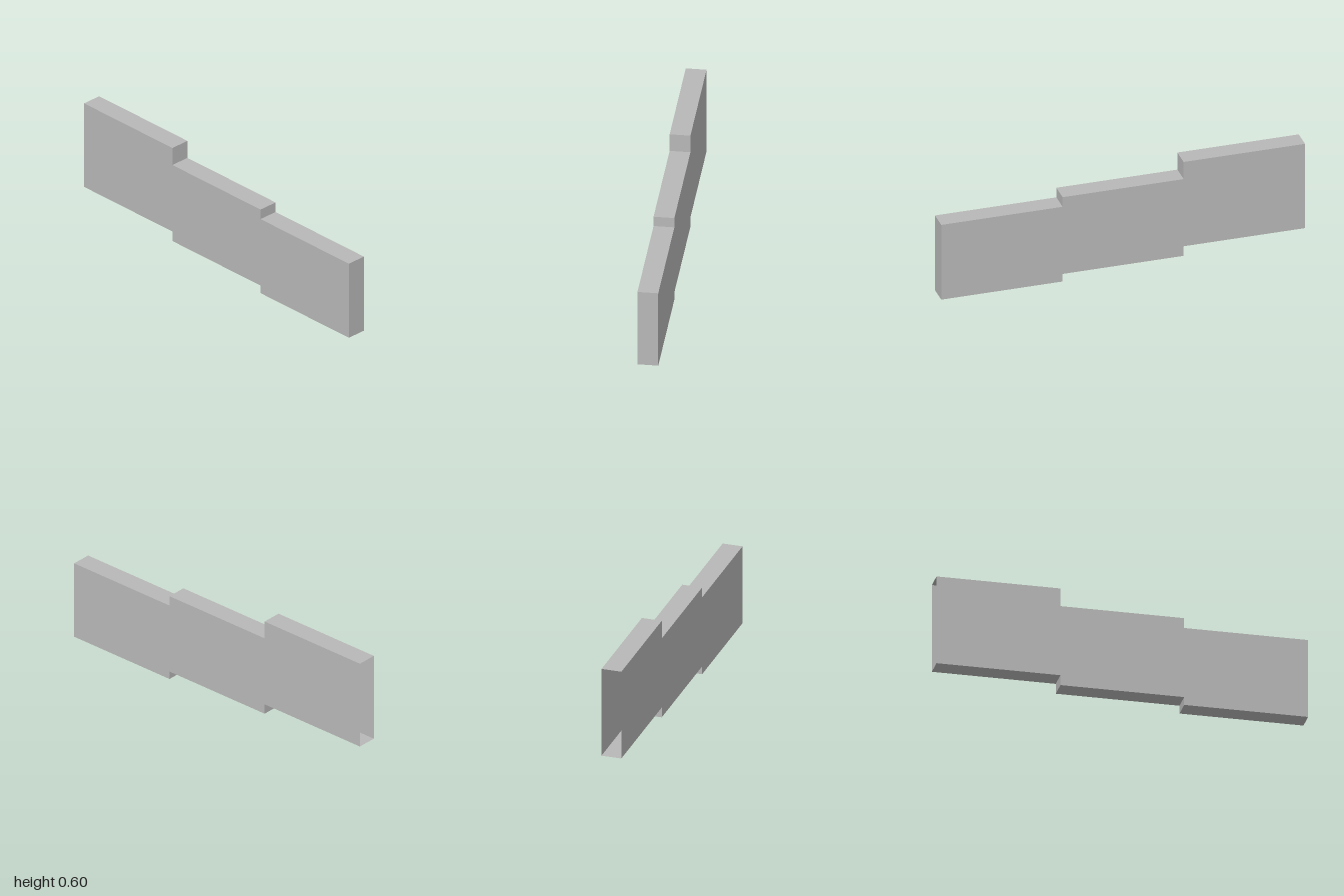
import * as THREE from 'three';
import { mergeGeometries } from 'three/addons/utils/BufferGeometryUtils.js';

const HALF_WIDTH = 0.055;

// Stepped outline as [z, y], from the top of the open back end round the front
// to the bottom of the back end
const STEPS = [
  { front: 1, back: 0.333, bottom: 0, top: 0.445 },
  { front: 0.333, back: -0.333, bottom: 0.045, top: 0.502 },
  { front: -0.333, back: -1, bottom: 0.102, top: 0.604 },
];
const OUTLINE = [
  ...[...STEPS].reverse().flatMap((s) => [[s.back, s.top], [s.front, s.top]]),
  ...STEPS.flatMap((s) => [[s.front, s.bottom], [s.back, s.bottom]]),
];

// Flat stepped panel facing +x (side 1) or -x (side -1)
function sidePanel(side) {
  const shape = new THREE.Shape(OUTLINE.map(([z, y]) => new THREE.Vector2(-side * z, y)));
  const geometry = new THREE.ShapeGeometry(shape);
  geometry.rotateY(side * Math.PI / 2);
  geometry.translate(side * HALF_WIDTH, 0, 0);
  return geometry;
}

// Rectangle spanning the width between two neighbouring outline points
function edgeStrip([z0, y0], [z1, y1]) {
  const w = HALF_WIDTH;
  const geometry = new THREE.BufferGeometry();
  geometry.setAttribute('position', new THREE.Float32BufferAttribute([
    -w, y0, z0, -w, y1, z1, w, y1, z1, w, y0, z0,
  ], 3));
  geometry.setIndex([0, 1, 2, 0, 2, 3]);
  geometry.computeVertexNormals();
  return geometry;
}

export function createModel() {
  const model = new THREE.Group();
  model.name = 'steppedShell';
  const grey = new THREE.MeshStandardMaterial({ color: 0xb8b8b8, side: THREE.DoubleSide });
  grey.name = 'grey';

  const add = (name, geometry) => {
    const mesh = new THREE.Mesh(geometry, grey);
    mesh.name = name;
    model.add(mesh);
  };

  // Side panels
  add('leftPanel', sidePanel(1));
  add('rightPanel', sidePanel(-1));

  // Top, front, bottom and step walls; the back end stays open
  const strips = OUTLINE.slice(1).map((point, i) => edgeStrip(OUTLINE[i], point));
  add('edgeWalls', mergeGeometries(strips));

  return model;
}
